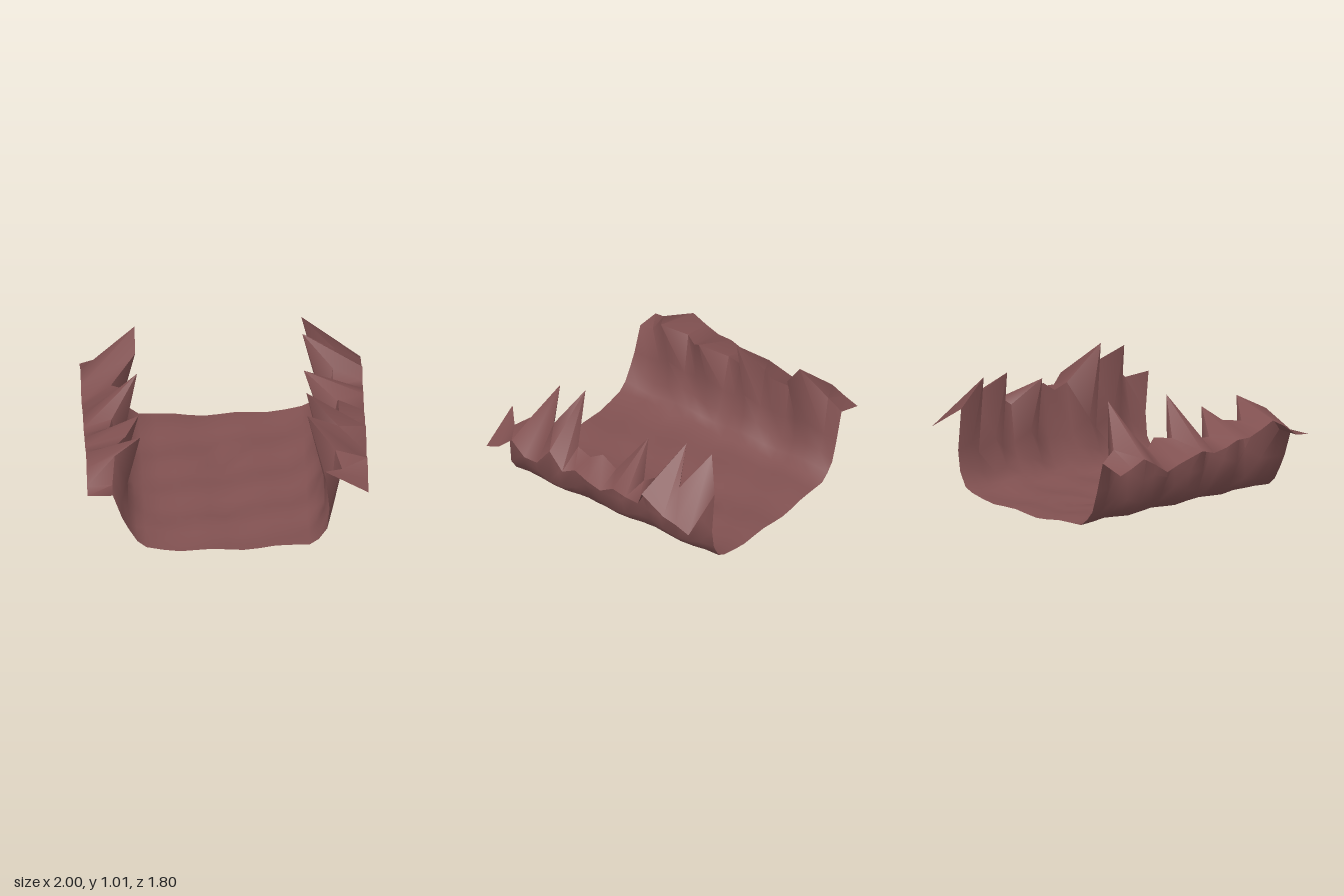
import * as THREE from 'three';
import { toCreasedNormals } from 'three/addons/utils/BufferGeometryUtils.js';

const ROWS = 17;

// Per row from back (z = -0.9) to front (z = 0.9): rim x, rim height, outer edge height
const RIGHT = {
  x: [.81, .8, .615, .615, .79, .73, .8, .615, .8, .82, .615, .71, .79, .615, .8, .82, .82],
  rim: [.56, .64, .95, .79, .6, .65, .64, .91, .6, .6, .77, .67, .66, .8, .72, .55, .53],
  edge: [.5, .54, .59, .53, .46, .5, .53, .56, .53, .55, .59, .59, .63, .68, .62, .54, .53],
};
const LEFT = {
  x: [.69, .575, .81, .575, .79, .78, .575, .81, .815, .815, .81, .575, .8, .575, .77, .815, .69],
  rim: [.7, .935, .73, .935, .71, .63, .84, .65, .73, .66, .7, 1.01, .8, .96, .74, .65, .7],
  edge: [.52, .56, .585, .7, .605, .61, .635, .57, .6, .65, .59, .72, .57, .57, .67, .565, .52],
};
const FLOOR_X = [-.58, -.46, -.34, -.22, -.11, 0, .11, .22, .34, .46, .58];

// Outer edge, jagged rim, mid wall, foot of the wall and rounded corner for one side
function wall(side, sign, i, z) {
  const rx = side.x[i], ry = side.rim[i];
  const midX = .7 + (rx - .6) * .24;
  const midY = .43 - (rx - .6) * .42;
  const edgeZ = side === LEFT && i === 3 ? z + .08 : z;
  const footY = .215 + .035 * Math.sin(i * 1.3 + sign);
  return [
    [sign, side.edge[i], edgeZ],
    [sign * rx, ry, z],
    [sign * midX, midY, z],
    [sign * (.7 + .006 * Math.sin(i * 1.7)), footY, z],
    [sign * .645, .05 + footY * .38, z],
  ];
}

// Gently uneven trough floor with two small dips in the middle
function floorHeight(x, i) {
  if (x === 0 && i === 5) return 0;
  if (x === 0 && i === 11) return .02;
  const ripple = .02 * Math.sin(x * 8 + i * .7) * Math.cos(i * .9 - x * 5);
  return .055 + .1 * x * x + .06 * Math.pow(Math.abs(x), 6) + ripple;
}

function crossSection(i) {
  const z = -.9 + i * 1.8 / (ROWS - 1);
  return [
    ...wall(RIGHT, -1, i, z),
    ...FLOOR_X.map(x => [x, floorHeight(x, i), z]),
    ...wall(LEFT, 1, i, z).reverse(),
  ];
}

// Loft the cross-sections, strip by strip from -x to +x
function loft() {
  const rows = Array.from({ length: ROWS }, (_, i) => crossSection(i));
  const columns = rows[0].length;
  const index = [];
  for (let j = 0; j < columns - 1; j++) {
    for (let i = 0; i < ROWS - 1; i++) {
      const a = i * columns + j, b = a + columns;
      index.push(a, b, a + 1, b, b + 1, a + 1);
    }
  }
  const geometry = new THREE.BufferGeometry();
  geometry.setAttribute('position', new THREE.Float32BufferAttribute(rows.flat(2), 3));
  geometry.setIndex(index);
  return toCreasedNormals(geometry, 1.3);
}

// Cut a range of strips out of the loft, keeping normals shared across the seams
function strips(source, from, to) {
  const size = (ROWS - 1) * 6 * 3;
  const geometry = new THREE.BufferGeometry();
  for (const name of ['position', 'normal']) {
    const part = source.attributes[name].array.slice(from * size, to * size);
    geometry.setAttribute(name, new THREE.BufferAttribute(part, 3));
  }
  return geometry;
}

export function createModel() {
  const rock = new THREE.MeshStandardMaterial({ color: 0x815151, side: THREE.DoubleSide });
  rock.name = 'reddish rock';

  const group = new THREE.Group();
  group.name = 'canyon';
  const sheet = loft();
  const parts = [
    ['rightLedge', 0, 1], ['rightWall', 1, 5], ['canyonFloor', 5, 15],
    ['leftWall', 15, 19], ['leftLedge', 19, 20],
  ];
  for (const [name, from, to] of parts) {
    const mesh = new THREE.Mesh(strips(sheet, from, to), rock);
    mesh.name = name;
    group.add(mesh);
  }
  return group;
}
